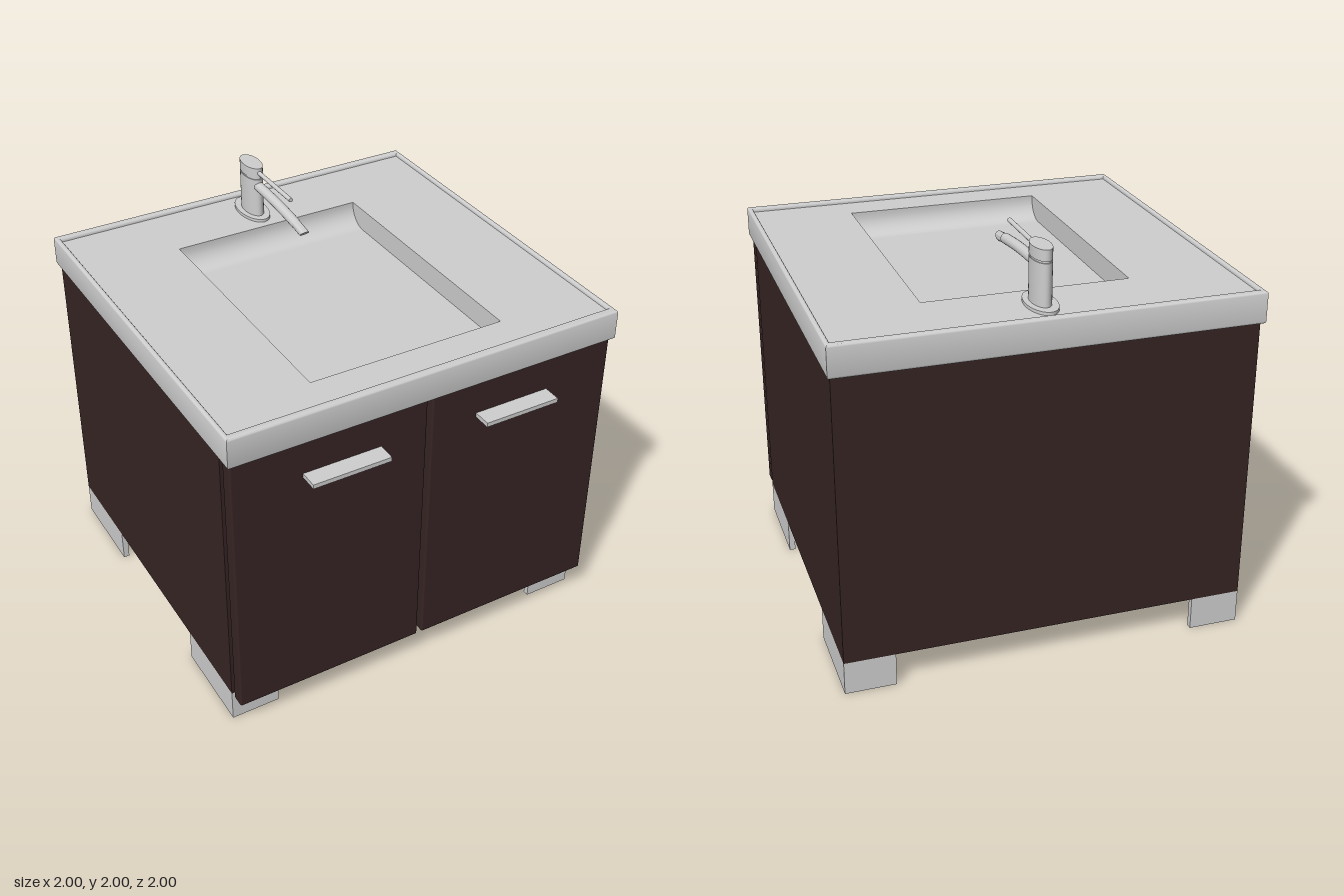
import * as THREE from 'three';
import { RoundedBoxGeometry } from 'three/addons/geometries/RoundedBoxGeometry.js';
import { toCreasedNormals } from 'three/addons/utils/BufferGeometryUtils.js';

export function createModel() {
  const model = new THREE.Group();
  model.name = 'washbasinCabinet';
  const wood = new THREE.MeshStandardMaterial({ color: 0x372424 });
  wood.name = 'darkWood';
  const ceramic = new THREE.MeshStandardMaterial({ color: 0xcecece });
  ceramic.name = 'lightGrey';

  const add = (name, geometry, material, x = 0, y = 0, z = 0, parent = model) => {
    const mesh = new THREE.Mesh(geometry, material);
    mesh.name = name;
    mesh.position.set(x, y, z);
    parent.add(mesh);
    return mesh;
  };
  // Box given by its limits on each axis
  const block = (name, material, [x0, x1], [y0, y1], [z0, z1], radius = 0) => {
    const size = [x1 - x0, y1 - y0, z1 - z0];
    const geometry = radius ? new RoundedBoxGeometry(...size, 2, radius) : new THREE.BoxGeometry(...size);
    return add(name, geometry, material, (x0 + x1) / 2, (y0 + y1) / 2, (z0 + z1) / 2);
  };

  // Rectangular frame lying flat: half width, back and front limits of outline and hole
  const rectangle = (path, w, z0, z1) =>
    path.moveTo(-w, -z1).lineTo(w, -z1).lineTo(w, -z0).lineTo(-w, -z0).closePath();
  const frame = (outer, hole, y0, y1, bevel) => {
    const shape = rectangle(new THREE.Shape(), ...outer);
    shape.holes.push(rectangle(new THREE.Path(), ...hole));
    const geometry = new THREE.ExtrudeGeometry(shape, {
      depth: y1 - y0 - 2 * bevel, bevelEnabled: bevel > 0, bevelThickness: bevel,
      bevelSize: bevel, bevelOffset: -bevel, bevelSegments: 3,
    });
    geometry.rotateX(-Math.PI / 2).translate(0, y0 + bevel, 0);
    return toCreasedNormals(geometry, 0.6);
  };

  // Cabinet body, doors and handles
  block('cabinetBody', wood, [-0.985, 0.985], [0.165, 1.585], [-0.975, 0.815]);
  for (const [side, s] of [['left', 1], ['right', -1]]) {
    const span = (a, b) => (s > 0 ? [a, b] : [-b, -a]);
    block(side + 'Door', wood, span(0.013, 0.985), [0.165, 1.585], [0.84, 0.91], 0.01);
    block(side + 'Handle', ceramic, span(0.25, 0.64), [1.395, 1.417], [0.905, 1.0]);

    // Angled corner feet
    const t = 0.03;
    for (const [end, zs, zp] of [
      ['Front', [0.35, 0.815], [0.815 - t, 0.815]],
      ['Back', [-0.975, -0.505], [-0.975, -0.975 + t]],
    ]) {
      block(side + end + 'FootSide', ceramic, span(0.985 - t, 0.985), [0, 0.165], zs);
      block(side + end + 'FootFace', ceramic, span(0.74, 0.985 - t), [0, 0.165], zp);
    }
  }

  // Countertop: raised rim and recessed deck with the basin opening
  const deckY = 1.722;
  add('countertopRim', frame([1, -1, 0.93], [0.975, -0.96, 0.887], 1.585, 1.74, 0.012), ceramic);
  add('countertopDeck', frame([0.98, -0.965, 0.892], [0.495, -0.61, 0.715], 1.59, deckY, 0), ceramic);

  // Basin floor, curving up at the back and front
  const radius = 0.1, steps = 8, section = [[-0.609, deckY]];
  for (let i = 0; i <= steps; i++) {
    const a = (i / steps) * Math.PI / 2;
    section.push([-0.609 + radius * (1 - Math.cos(a)), 1.608 + radius * (1 - Math.sin(a))]);
  }
  for (let i = steps; i >= 0; i--) {
    const a = (i / steps) * Math.PI / 2;
    section.push([0.714 - radius * (1 - Math.cos(a)), 1.608 + radius * (1 - Math.sin(a))]);
  }
  section.push([0.714, deckY]);
  const floor = new THREE.PlaneGeometry(0.99, 1, 1, section.length - 1).rotateX(-Math.PI / 2);
  section.forEach(([z, y], row) => {
    for (let k = 0; k < 2; k++) {
      floor.attributes.position.setY(row * 2 + k, y);
      floor.attributes.position.setZ(row * 2 + k, z);
    }
  });
  floor.computeVertexNormals();
  add('basinFloor', floor, ceramic);

  // Tap: oval flange, column and cap
  const tap = new THREE.Group();
  tap.name = 'tap';
  model.add(tap);
  const oval = (name, rx, rz, y0, y1, z) => {
    const geometry = new THREE.CylinderGeometry(1, 1, y1 - y0, 40).scale(rx, 1, rz);
    add(name, geometry, ceramic, 0, (y0 + y1) / 2, z, tap);
  };
  oval('tapFlange', 0.072, 0.14, deckY, 1.737, -0.79);
  oval('tapColumn', 0.045, 0.092, 1.73, 1.938, -0.785);
  oval('tapNeck', 0.041, 0.086, 1.935, 1.95, -0.785);
  oval('tapCap', 0.045, 0.092, 1.947, 2.0, -0.785);

  // Lever
  const lever = new THREE.CylinderGeometry(0.011, 0.011, 0.36, 16).rotateX(Math.PI / 2);
  add('tapLever', lever, ceramic, 0, 1.974, -0.545, tap);

  // Arched spout
  const curve = new THREE.CatmullRomCurve3([
    [1.898, -0.74], [1.896, -0.66], [1.89, -0.52], [1.88, -0.41], [1.868, -0.31],
  ].map(([y, z]) => new THREE.Vector3(0, y, z)));
  add('tapSpout', new THREE.TubeGeometry(curve, 20, 0.025, 20), ceramic, 0, 0, 0, tap);

  // Nozzle with a slanted mouth
  const nozzle = new THREE.CylinderGeometry(0.023, 0.023, 0.1, 20);
  const p = nozzle.attributes.position;
  for (let i = 0; i < p.count; i++) {
    if (p.getY(i) > 0) p.setY(i, p.getY(i) - p.getZ(i) * 0.8);
  }
  nozzle.computeVertexNormals();
  const tip = add('tapNozzle', toCreasedNormals(nozzle, 0.7), ceramic, 0, 1.862, -0.281, tap);
  tip.rotation.x = Math.PI / 2 + 0.17;

  return model;
}
